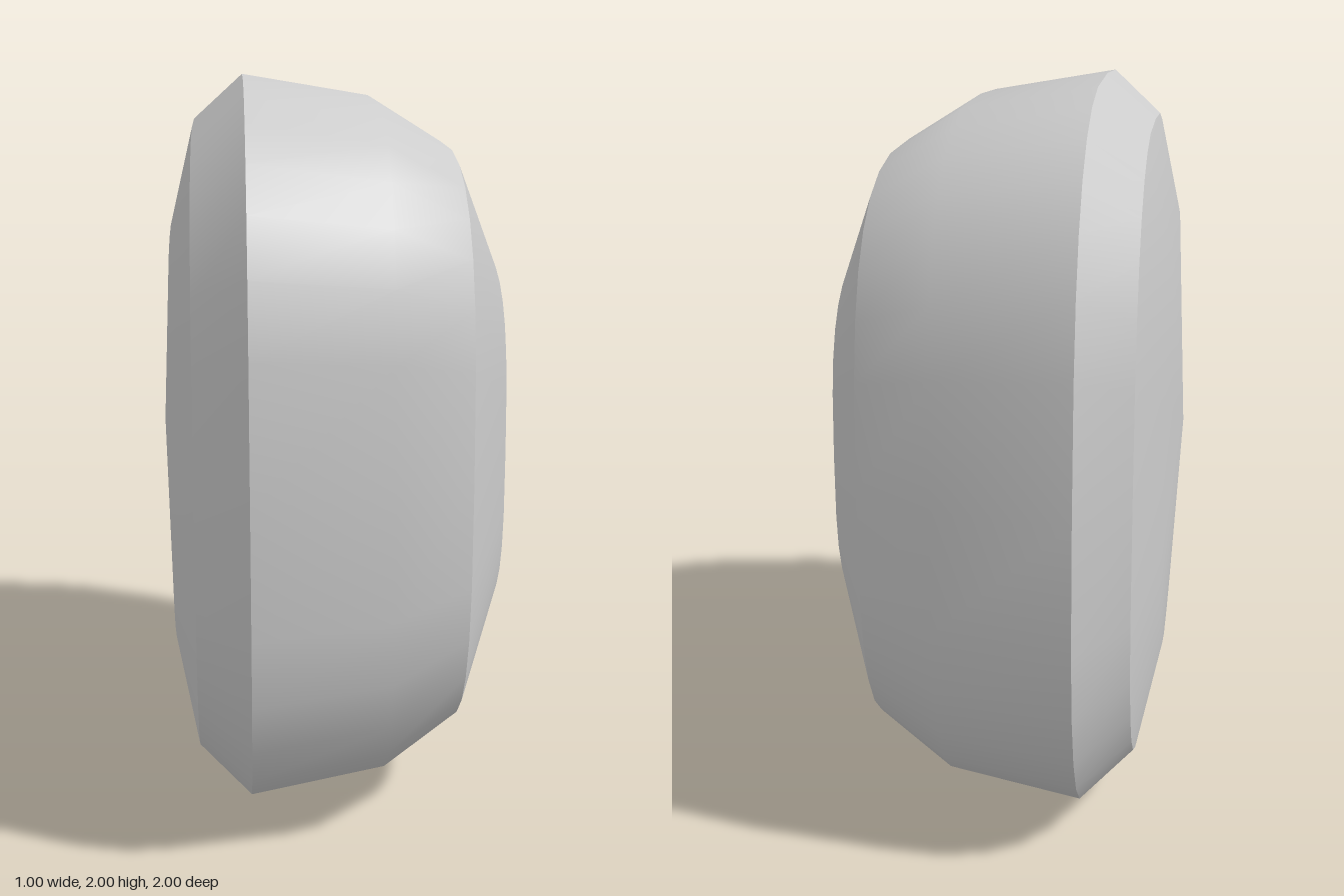
import * as THREE from 'three';
import { mergeVertices } from 'three/addons/utils/BufferGeometryUtils.js';

const SEGMENTS = 32;
const ROUNDNESS = 2 / 3.1; // superellipse exponent of the rounded-square section

const soften = (v) => Math.sign(v) * Math.pow(Math.abs(v), ROUNDNESS);

// Smooth skin through rounded-square rings, each given as [x, radius]
function skin(rings) {
  const positions = [];
  const index = [];
  rings.forEach(([x, r], i) => {
    for (let j = 0; j < SEGMENTS; j++) {
      const a = (j / SEGMENTS) * Math.PI * 2;
      positions.push(x, 1 + r * soften(Math.sin(a)), r * soften(Math.cos(a)));
      if (i === 0) continue;
      const k = (j + 1) % SEGMENTS;
      const p = (i - 1) * SEGMENTS;
      const q = i * SEGMENTS;
      if (r > 0) index.push(p + j, q + j, q + k);
      if (rings[i - 1][1] > 0) index.push(p + j, q + k, p + k);
    }
  });
  const raw = new THREE.BufferGeometry();
  raw.setAttribute('position', new THREE.Float32BufferAttribute(positions, 3));
  raw.setIndex(index);
  const geometry = mergeVertices(raw);
  geometry.computeVertexNormals();
  return geometry;
}

export function createModel() {
  const group = new THREE.Group();
  group.name = 'roundedSquareBlock';
  const grey = new THREE.MeshStandardMaterial({ color: 0xcccccc });
  grey.name = 'light grey';

  // Separate skins keep the creases between them sharp
  const parts = {
    rightFace: [[-0.5, 0], [-0.465, 0.6], [-0.4, 0.875]],
    rightBevel: [[-0.4, 0.875], [-0.262, 1]],
    sideWall: [[-0.262, 1], [0.097, 0.94], [0.306, 0.81]],
    leftFace: [[0.306, 0.81], [0.435, 0.5], [0.497, 0]],
  };
  for (const [name, rings] of Object.entries(parts)) {
    const mesh = new THREE.Mesh(skin(rings), grey);
    mesh.name = name;
    group.add(mesh);
  }
  return group;
}
